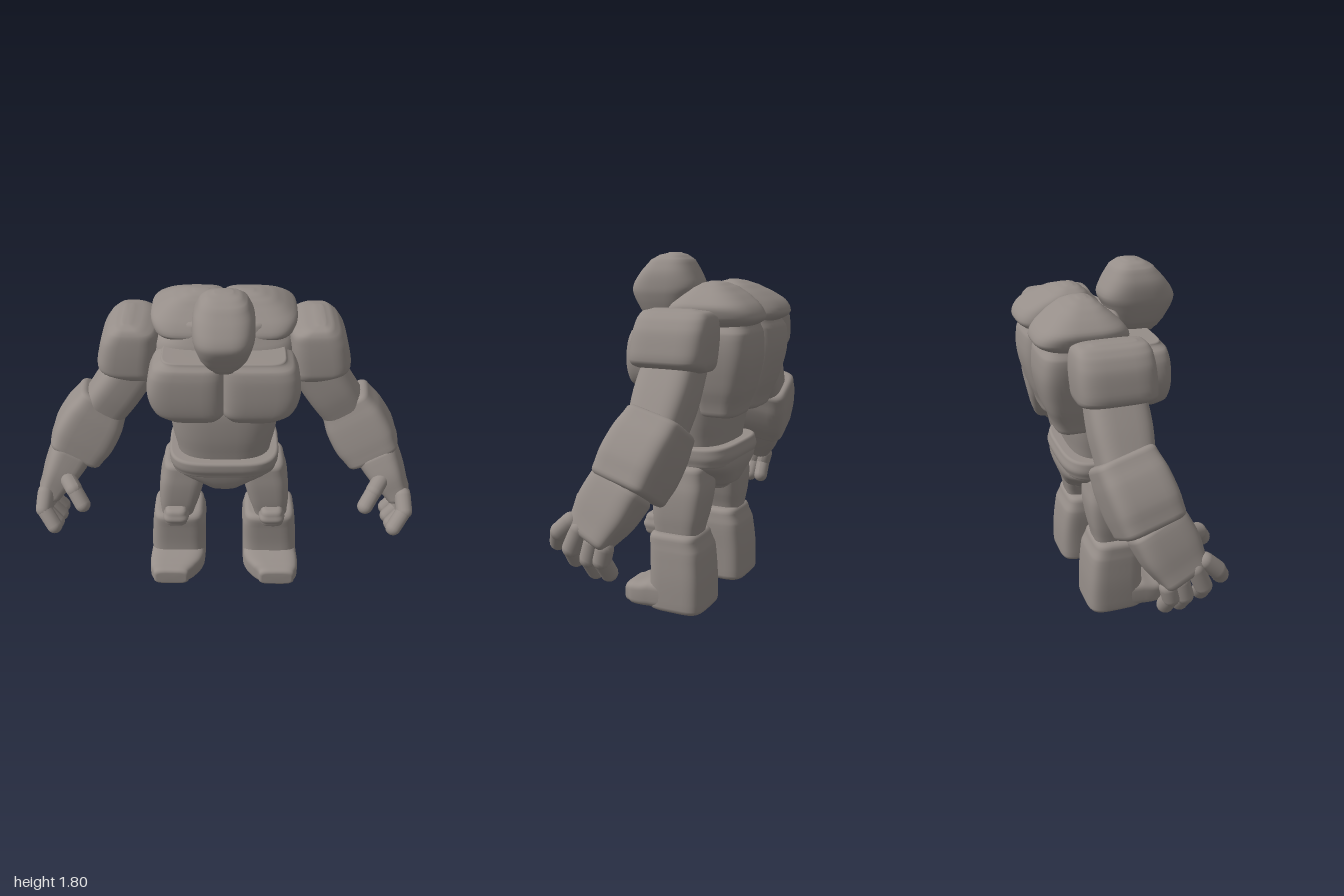
import * as THREE from 'three';

const V = (p) => new THREE.Vector3(...p);

// Smooth rounded block from cross-sections [y, x0, x1, z0, z1], listed upwards.
// n is the squareness of the outline; the bevels round off (and lengthen) the ends, 0 leaves them flat.
function loft(sections, n = 4, bevel = 0.03, topBevel = bevel) {
  const SEG = 48, SUB = 4, rings = [];
  const at = (i) => sections[Math.max(0, Math.min(sections.length - 1, i))];
  const spline = (a, b, c, d, t) => b + 0.5 * t * (c - a + t * (2 * a - 5 * b + 4 * c - d + t * (3 * (b - c) + d - a)));
  for (let i = 0; i < sections.length - 1; i++)
    for (let k = 0; k < SUB; k++) {
      const t = k / SUB;
      rings.push(at(i).map((v, c) => c === 0
        ? v + (at(i + 1)[0] - v) * t
        : spline(at(i - 1)[c], v, at(i + 1)[c], at(i + 2)[c], t)));
    }
  rings.push(at(sections.length - 1));
  const first = rings[0], last = rings[rings.length - 1];
  for (let k = 1; k <= 4; k++) {
    const a = k * Math.PI / 8;
    const inset = ([y, x0, x1, z0, z1], b, dir) => {
      const s = b * (1 - Math.cos(a));
      return [y + dir * b * Math.sin(a), x0 + s, x1 - s, z0 + s, z1 - s];
    };
    if (bevel > 0) rings.unshift(inset(first, bevel, -1));
    if (topBevel > 0) rings.push(inset(last, topBevel, 1));
  }
  const pos = [], idx = [], pow = (v) => Math.sign(v) * Math.abs(v) ** (2 / n);
  for (const [y, x0, x1, z0, z1] of rings)
    for (let i = 0; i < SEG; i++) {
      const a = i / SEG * Math.PI * 2;
      pos.push((x0 + x1) / 2 + (x1 - x0) / 2 * pow(Math.cos(a)), y, (z0 + z1) / 2 + (z1 - z0) / 2 * pow(Math.sin(a)));
    }
  const top = (rings.length - 1) * SEG, c0 = pos.length / 3;
  for (const r of [rings[0], rings[rings.length - 1]]) pos.push((r[1] + r[2]) / 2, r[0], (r[3] + r[4]) / 2);
  for (let i = 0; i < SEG; i++) {
    const k = (i + 1) % SEG;
    for (let j = 0; j < rings.length - 1; j++) {
      const a = j * SEG + i, b = j * SEG + k;
      idx.push(a, a + SEG, b, b, a + SEG, b + SEG);
    }
    idx.push(c0, i, k, c0 + 1, top + k, top + i);
  }
  const g = new THREE.BufferGeometry();
  g.setAttribute('position', new THREE.Float32BufferAttribute(pos, 3));
  g.setIndex(idx);
  g.computeVertexNormals();
  return g;
}

// Places a geometry whose local y axis runs from b (bottom) to a (top), origin at b.
function align(g, a, b) {
  const y = V(a).sub(V(b)).normalize();
  const x = y.clone().cross(new THREE.Vector3(0, 0, 1)).normalize();
  const z = x.clone().cross(y);
  return g.applyMatrix4(new THREE.Matrix4().makeBasis(x, y, z).setPosition(V(b)));
}

// Limb block from a down to b; sections are [fraction from b to a, half width, half depth].
function limb(a, b, sections, n, bevel) {
  const len = V(a).distanceTo(V(b));
  return align(loft(sections.map(([t, rx, rz]) => [t * len, -rx, rx, -rz, rz]), n, bevel), a, b);
}

// Finger bone with round ends.
function bone(a, b, r) {
  const len = V(a).distanceTo(V(b));
  return align(new THREE.CapsuleGeometry(r, len, 6, 16).translate(0, len / 2, 0), a, b);
}

function mirrored(g) {
  const m = g.clone().scale(-1, 1, 1), ix = m.index.array;
  for (let i = 0; i < ix.length; i += 3) [ix[i], ix[i + 1]] = [ix[i + 1], ix[i]];
  m.computeVertexNormals();
  return m;
}

export function createModel() {
  const model = new THREE.Group();
  model.name = 'stoneGiant';
  const stone = new THREE.MeshStandardMaterial({ color: 0x968e89 });
  stone.name = 'warm grey stone';
  const add = (name, g) => {
    const m = new THREE.Mesh(g, stone);
    m.name = name;
    model.add(m);
  };
  const pair = (name, g) => {
    add('left' + name, g);
    add('right' + name, mirrored(g));
  };

  // Head, leaning forward
  add('head', loft([
    [1.432, -0.05, 0.05, 0.2, 0.29], [1.46, -0.085, 0.085, 0.1, 0.315], [1.5, -0.115, 0.115, 0.07, 0.34],
    [1.58, -0.14, 0.14, 0.03, 0.38], [1.63, -0.146, 0.146, 0.01, 0.382], [1.7, -0.14, 0.14, 0.04, 0.335],
    [1.76, -0.112, 0.112, 0.075, 0.28], [1.785, -0.08, 0.08, 0.11, 0.235], [1.797, -0.04, 0.04, 0.14, 0.19]],
    2.9, 0));

  // Trunk
  add('torsoCore', loft([[1.12, -0.26, 0.26, -0.2, 0.17], [1.3, -0.33, 0.33, -0.24, 0.16],
    [1.45, -0.34, 0.34, -0.24, 0.12], [1.54, -0.24, 0.24, -0.24, 0.08]], 3.5));
  add('abdomen', loft([[0.83, -0.242, 0.242, -0.17, 0.185], [0.97, -0.268, 0.268, -0.19, 0.2],
    [1.12, -0.285, 0.285, -0.2, 0.2], [1.2, -0.28, 0.28, -0.2, 0.18]], 2.9));
  add('belt', loft([[0.755, -0.278, 0.278, -0.225, 0.215], [0.79, -0.287, 0.287, -0.235, 0.228],
    [0.83, -0.287, 0.287, -0.225, 0.23]], 3.6, 0.015));
  add('pelvis', loft([[0.6, -0.08, 0.08, -0.14, 0.12], [0.625, -0.11, 0.11, -0.185, 0.16],
    [0.67, -0.165, 0.165, -0.208, 0.19], [0.73, -0.265, 0.265, -0.228, 0.207],
    [0.78, -0.28, 0.28, -0.23, 0.215]], 3.2, 0.012));
  pair('ChestPlate', loft([[1.105, 0.07, 0.22, 0.08, 0.22], [1.125, 0.02, 0.275, 0.03, 0.252],
    [1.165, -0.01, 0.335, 0, 0.276], [1.22, -0.01, 0.363, 0, 0.284], [1.29, -0.01, 0.374, 0, 0.285],
    [1.37, -0.01, 0.362, 0, 0.28], [1.42, -0.01, 0.338, 0.01, 0.268], [1.445, -0.005, 0.3, 0.02, 0.245]],
    4.2, 0, 0.01));
  pair('BackPlate', loft([[1.035, 0.0, 0.265, -0.28, -0.06], [1.15, -0.01, 0.3, -0.325, -0.05],
    [1.3, -0.01, 0.328, -0.36, -0.04], [1.42, -0.01, 0.33, -0.355, -0.04], [1.47, -0.01, 0.3, -0.33, -0.05]], 4));
  pair('UpperBack', loft([[1.44, 0.0, 0.29, -0.3, 0], [1.475, -0.005, 0.335, -0.365, 0.06],
    [1.505, -0.01, 0.355, -0.38, 0.085], [1.555, -0.01, 0.36, -0.348, 0.055], [1.6, -0.01, 0.31, -0.285, 0.005],
    [1.635, 0, 0.25, -0.22, -0.035], [1.655, 0.04, 0.19, -0.17, -0.065], [1.664, 0.08, 0.14, -0.13, -0.095]],
    3.2, 0));

  // Shoulders and arms
  pair('ShoulderPad', loft([[1.245, 0.365, 0.42, -0.16, 0.05], [1.265, 0.35, 0.51, -0.235, 0.095],
    [1.295, 0.335, 0.605, -0.258, 0.112], [1.325, 0.332, 0.63, -0.265, 0.115], [1.4, 0.325, 0.618, -0.27, 0.113],
    [1.46, 0.322, 0.6, -0.268, 0.108], [1.51, 0.33, 0.568, -0.258, 0.1], [1.54, 0.385, 0.53, -0.235, 0.08],
    [1.553, 0.45, 0.49, -0.17, 0.03]], 4, 0));
  pair('UpperArm', limb([0.42, 1.32, -0.065], [0.64, 1.0, -0.065],
    [[0, 0.118, 0.13], [0.45, 0.122, 0.145], [1, 0.115, 0.14]], 3.6));
  pair('Forearm', limb([0.637, 1.035, -0.085], [0.79, 0.785, -0.008],
    [[0, 0.147, 0.158], [0.3, 0.163, 0.163], [0.7, 0.157, 0.16], [1, 0.135, 0.15]], 5, 0.028));
  pair('Hand', limb([0.82, 0.77, 0.02], [0.935, 0.58, 0.115],
    [[0, 0.062, 0.12], [0.5, 0.09, 0.145], [1, 0.108, 0.145]], 4));
  const fingers = {
    Thumb: [[0.83, 0.71, 0.16], [0.78, 0.685, 0.24], [0.735, 0.62, 0.285]],
    FirstFinger: [[0.94, 0.63, 0.21], [0.945, 0.575, 0.27], [0.89, 0.5, 0.318]],
    SecondFinger: [[0.95, 0.6, 0.16], [0.957, 0.51, 0.2], [0.9, 0.44, 0.215]],
    ThirdFinger: [[0.95, 0.55, 0.09], [0.955, 0.475, 0.11], [0.9, 0.4, 0.11]],
    FourthFinger: [[0.95, 0.53, 0.03], [0.95, 0.475, 0.045], [0.9, 0.4, 0.04]],
  };
  for (const [name, [a, b, c]] of Object.entries(fingers)) {
    pair(name + 'Base', bone(a, b, 0.043));
    pair(name + 'Tip', bone(b, c, 0.041));
  }

  // Legs
  pair('Thigh', loft([[0.4, 0.165, 0.347, -0.105, 0.135], [0.5, 0.135, 0.352, -0.125, 0.145],
    [0.62, 0.105, 0.345, -0.138, 0.145], [0.72, 0.09, 0.322, -0.125, 0.135]], 4.2));
  pair('KneeCap', loft([[0.4, 0.2, 0.325, 0.08, 0.195], [0.43, 0.19, 0.33, 0.07, 0.205],
    [0.46, 0.2, 0.32, 0.08, 0.195]], 3.4, 0.025));
  pair('Shin', loft([[0.03, 0.107, 0.41, -0.16, 0.15], [0.18, 0.106, 0.408, -0.157, 0.138],
    [0.32, 0.103, 0.397, -0.142, 0.142], [0.38, 0.112, 0.388, -0.118, 0.147]], 4.5));
  // Foot, lofted from heel to toe with the toe turned outwards
  pair('Foot', loft([[0, 0.115, 0.405, -0.16, -0.003], [0.13, 0.11, 0.413, -0.155, -0.003],
    [0.18, 0.13, 0.415, -0.14, -0.003], [0.225, 0.165, 0.41, -0.132, -0.005],
    [0.255, 0.195, 0.395, -0.12, -0.012]], 4.2, 0.02).rotateX(Math.PI / 2));

  return model;
}
